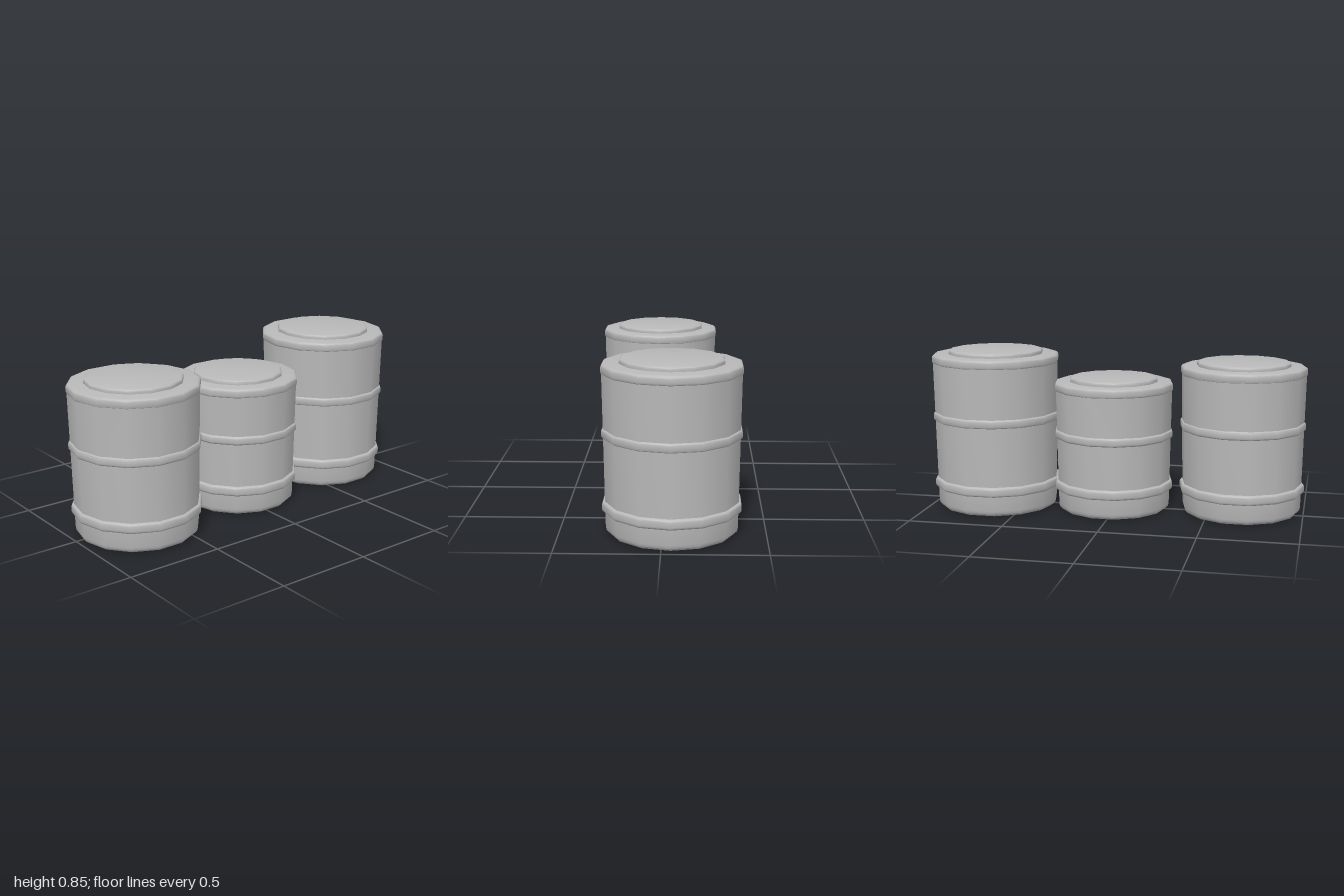
import * as THREE from 'three';
import { toCreasedNormals } from 'three/addons/utils/BufferGeometryUtils.js';

const SIDES = 14;
const metal = new THREE.MeshStandardMaterial({ color: 0xb8b8b8 });
metal.name = 'grey metal';

// Revolve a bottom-to-top [radius, y] profile, with a corner on the x axis
function revolve(name, profile) {
  const points = profile.map(([r, y]) => new THREE.Vector2(r, y));
  const lathe = new THREE.LatheGeometry(points, SIDES, Math.PI / 2);
  const mesh = new THREE.Mesh(toCreasedNormals(lathe, 0.6), metal);
  mesh.name = name;
  return mesh;
}

// Quarter-round corner, swept from angle a0 to a1 (degrees)
function corner(r, y, size, a0, a1, steps = 3) {
  return Array.from({ length: steps + 1 }, (_, i) => {
    const a = THREE.MathUtils.degToRad(a0 + ((a1 - a0) * i) / steps);
    return [r + size * Math.cos(a), y + size * Math.sin(a)];
  });
}

// Solid disc with rounded edges, used for hoops, rim and lid
function disc(name, r, y0, y1, bevel) {
  return revolve(name, [
    [0, y0],
    ...corner(r - bevel, y0 + bevel, bevel, -90, 0),
    ...corner(r - bevel, y1 - bevel, bevel, 0, 90),
    [0, y1],
  ]);
}

function barrel(name, x, z, r, height) {
  const group = new THREE.Group();
  group.name = name;
  group.position.set(x, 0, z);
  const low = r - 0.017;
  const middle = height * 0.6;

  // Slightly tapered body with a rounded foot
  group.add(revolve('body', [
    [0, 0],
    ...corner(low - 0.034, 0.034, 0.034, -90, 0),
    [low + 0.002, 0.13],
    [r - 0.004, height - 0.03],
    [0, height - 0.03],
  ]));
  group.add(disc('lowerHoop', r, 0.11, 0.163, 0.015));
  group.add(disc('middleHoop', r, middle - 0.024, middle + 0.024, 0.014));
  group.add(disc('topRim', r, height - 0.052, height, 0.016));
  group.add(disc('lid', r * 0.743, height - 0.02, height + 0.023, 0.013));
  return group;
}

export function createModel() {
  const model = new THREE.Group();
  model.name = 'barrels';
  model.add(barrel('rightBarrel', -0.667, 0.051, 0.332, 0.785));
  model.add(barrel('middleBarrel', 0.018, -0.002, 0.319, 0.692));
  model.add(barrel('leftBarrel', 0.657, -0.045, 0.342, 0.83));
  return model;
}
